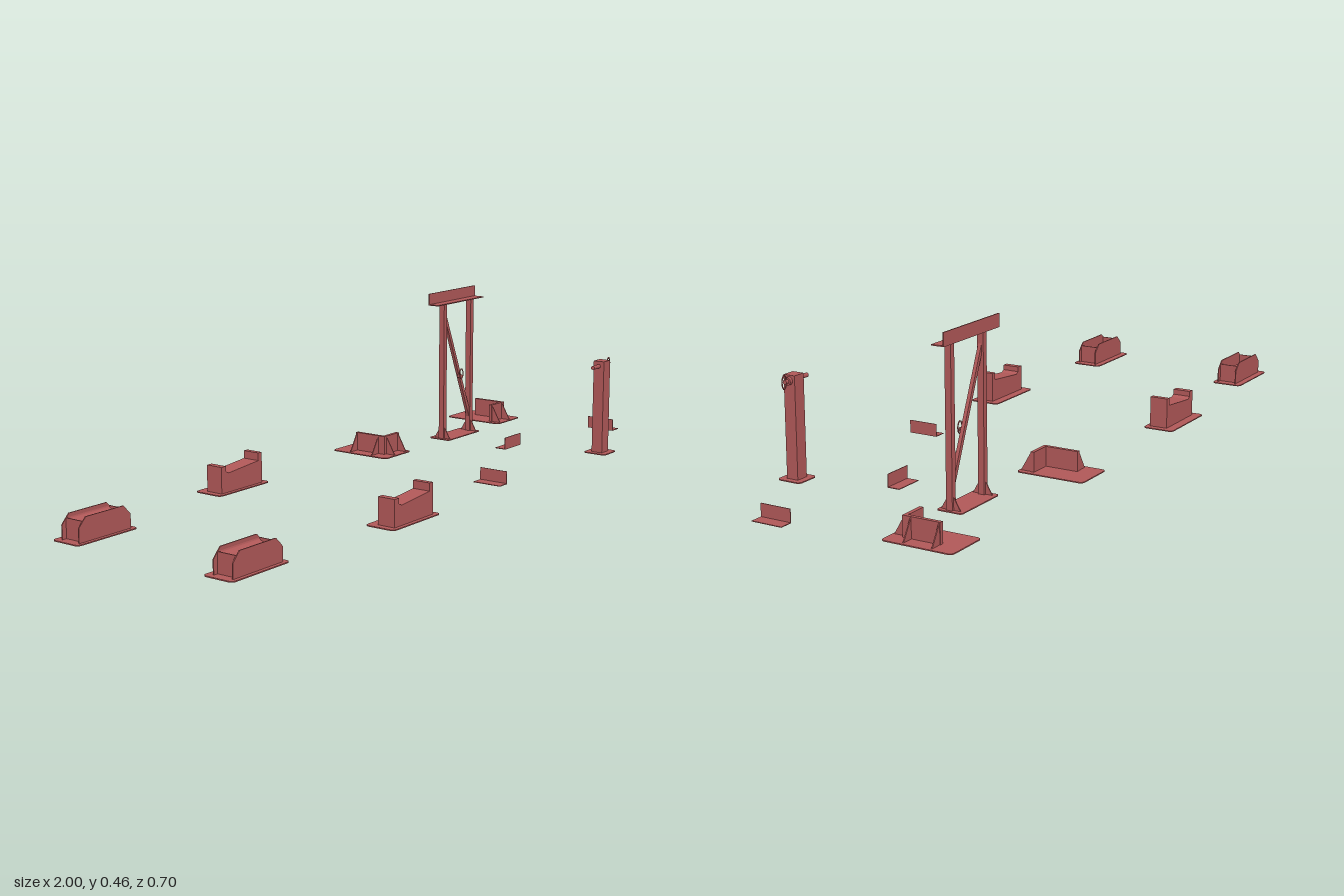
import * as THREE from 'three';

const mat = new THREE.MeshStandardMaterial({ color: 0xb05858, flatShading: true, side: THREE.DoubleSide });
const T = 0.003; // sheet thickness

function add(parent, name, geo, x = 0, y = 0, z = 0) {
  const m = new THREE.Mesh(geo, mat);
  m.name = name;
  m.position.set(x, y, z);
  parent.add(m);
  return m;
}

function group(parent, name, x = 0, z = 0) {
  const g = new THREE.Group();
  g.name = name;
  g.position.set(x, 0, z);
  parent.add(g);
  return g;
}

// Box given by its limits on each axis
function box(parent, name, x0, x1, y0, y1, z0, z1) {
  return add(parent, name, new THREE.BoxGeometry(x1 - x0, y1 - y0, z1 - z0),
    (x0 + x1) / 2, (y0 + y1) / 2, (z0 + z1) / 2);
}

// Outline in x/y, extruded along z and centred on z
function sheet(parent, name, pts, depth, z = 0) {
  const shape = new THREE.Shape(pts.map(p => new THREE.Vector2(...p)));
  const geo = new THREE.ExtrudeGeometry(shape, { depth, bevelEnabled: false });
  return add(parent, name, geo, 0, 0, z - depth / 2);
}

// Thin floor plate with rounded corners
function basePlate(parent, w, d, r = 0.012) {
  const a = w / 2, b = d / 2, s = new THREE.Shape();
  s.moveTo(-a + r, -b).lineTo(a - r, -b).absarc(a - r, -b + r, r, -Math.PI / 2, 0)
    .absarc(a - r, b - r, r, 0, Math.PI / 2)
    .absarc(-a + r, b - r, r, Math.PI / 2, Math.PI)
    .absarc(-a + r, -b + r, r, Math.PI, Math.PI * 1.5);
  const geo = new THREE.ExtrudeGeometry(s, { depth: T, bevelEnabled: false, curveSegments: 4 });
  geo.rotateX(-Math.PI / 2);
  return add(parent, 'basePlate', geo);
}

// Triangular stiffener: foot at the origin, pointing along the given heading
function gusset(parent, x, z, reach, height, heading) {
  const m = sheet(parent, 'gusset', [[0, 0], [reach, 0], [0, height]], T);
  m.geometry.translate(0, 0, -T / 2);
  m.position.set(x, 0, z);
  m.rotation.y = heading;
}

// Low saddle with two humped cheeks and a trough between them
function humpSaddle(root, z) {
  const g = group(root, 'humpSaddle', -0.893, z);
  basePlate(g, 0.21, 0.093);
  const hump = [[-0.09, 0], [0.09, 0], [0.09, 0.041], [0.08, 0.052], [0.065, 0.067],
    [-0.065, 0.067], [-0.08, 0.052], [-0.09, 0.041]];
  for (const dz of [-0.025, 0.034]) sheet(g, 'cheek', hump, T, dz);
  for (const s of [-1, 1]) {
    box(g, 'endPlate', s * 0.075 - T / 2, s * 0.075 + T / 2, 0, 0.057, -0.025, 0.034);
  }
  const trough = new THREE.CylinderGeometry(0.028, 0.028, 0.15, 10, 1, true, Math.PI / 2, Math.PI);
  trough.rotateZ(Math.PI / 2);
  trough.rotateX(0);
  const p = trough.attributes.position;
  // Keep the curve hanging downwards between the cheeks
  for (let i = 0; i < p.count; i++) p.setY(i, -Math.abs(p.getY(i)) * 0.4);
  add(g, 'trough', trough, 0, 0.057, 0.0045);
}

// Box saddle with a sloping top and raised end stops
function stopSaddle(root, z) {
  const g = group(root, 'stopSaddle', -0.32, z);
  basePlate(g, 0.21, 0.092);
  sheet(g, 'saddleBody', [[-0.085, 0], [0.085, 0], [0.085, 0.09], [0.07, 0.09], [0.07, 0.068],
    [-0.055, 0.057], [-0.066, 0.063], [-0.066, 0.078], [-0.085, 0.078]], 0.053, 0.0075);
}

// Corner seat: two walls in an L, stiffened on the outside; side = 1 opens to +x
function cornerSeat(root, x, side) {
  const g = group(root, 'cornerSeat', x, -0.2525);
  basePlate(g, 0.13, 0.2);
  const X = v => side * v;
  const wall = (name, a, b, z0, z1) =>
    box(g, name, Math.min(X(a), X(b)), Math.max(X(a), X(b)), 0, 0.058, z0, z1);
  wall('sideWall', -0.024, -0.013, -0.042, 0.065);
  wall('frontWall', -0.024, 0.05, 0.054, 0.065);
  for (const z of [-0.039, 0.041]) gusset(g, X(-0.024), z, 0.034, 0.056, side > 0 ? Math.PI : 0);
  for (const v of [-0.012, 0.046]) gusset(g, X(v), 0.065, 0.032, 0.056, -Math.PI / 2);
}

// Flat grip loop standing in the x/y plane
function gripLoop(parent, x, y, z, w, h) {
  const path = new THREE.CatmullRomCurve3([[-w, h * 0.6], [0, h], [w, h * 0.5], [w, -h * 0.5], [0, -h], [-w, -h * 0.6]]
    .map(([a, b]) => new THREE.Vector3(a, b, 0)), true);
  add(parent, 'gripLoop', new THREE.TubeGeometry(path, 24, 0.0018, 6, true), x, y, z);
}

// Tall two-legged frame with a diagonal brace and an angle beam on top
function tallFrame(root) {
  const g = group(root, 'tallFrame', 0.614, -0.18);
  basePlate(g, 0.178, 0.074, 0.008);
  for (const s of [-1, 1]) {
    const x = s * 0.074;
    box(g, 'leg', x - 0.008, x + 0.008, 0, 0.43, -0.006, 0.012);
    gusset(g, x, 0.012, 0.021, 0.037, -Math.PI / 2);
    gusset(g, x, -0.006, 0.021, 0.037, Math.PI / 2);
  }
  sheet(g, 'diagonalBrace', [[-0.07, 0.405], [-0.07, 0.378], [0.068, 0.045], [0.068, 0.075]], 0.01, 0.004);
  box(g, 'beamFlange', -0.127, 0.127, 0.428, 0.431, -0.016, 0.02);
  box(g, 'beamWeb', -0.127, 0.127, 0.428, 0.464, -0.016, -0.013);
  // Small latch on the brace
  const pin = new THREE.CylinderGeometry(0.006, 0.006, 0.012, 10);
  pin.rotateX(Math.PI / 2);
  add(g, 'latchPin', pin, 0.006, 0.19, 0.013);
  gripLoop(g, 0.01, 0.197, 0.016, 0.008, 0.016);
}

// Single post with a cross pin and pull handle
function pinPost(root) {
  const g = group(root, 'pinPost', 0.672, 0.313);
  basePlate(g, 0.074, 0.074);
  box(g, 'post', -0.019, 0.019, 0, 0.283, -0.0175, 0.0175);
  const bar = (name, r, x0, x1) => {
    const geo = new THREE.CylinderGeometry(r, r, x1 - x0, 12);
    geo.rotateZ(Math.PI / 2);
    add(g, name, geo, (x0 + x1) / 2, 0.268, 0);
  };
  bar('crossPin', 0.006, -0.055, 0.038);
  bar('pinCollar', 0.011, 0.019, 0.028);
  gripLoop(g, 0.04, 0.268, 0, 0.007, 0.019);
}

// Small angle pieces lying loose on the floor
function angles(root) {
  const h = 0.037;
  const a = group(root, 'frontAngle');
  box(a, 'angleFoot', 0.528, 0.616, 0, 0.002, 0.028, 0.064);
  box(a, 'angleLeg', 0.528, 0.616, 0, h, 0.062, 0.064);
  const b = group(root, 'leftAngle');
  box(b, 'angleFoot', 0.962, 1, 0, 0.002, 0.105, 0.196);
  box(b, 'angleLeg', 0.962, 0.964, 0, h, 0.105, 0.196);
  const c = group(root, 'rightAngle');
  box(c, 'angleFoot', 0.127, 0.164, 0, 0.002, 0.213, 0.302);
  box(c, 'angleLeg', 0.162, 0.164, 0, h, 0.213, 0.302);
}

export function createModel() {
  const root = new THREE.Group();
  root.name = 'supportSet';
  for (const z of [-0.252, 0.251]) humpSaddle(root, z);
  for (const z of [-0.296, 0.291]) stopSaddle(root, z);
  cornerSeat(root, 0.27, 1);
  cornerSeat(root, 0.89, -1);
  tallFrame(root);
  pinPost(root);
  angles(root);
  return root;
}
